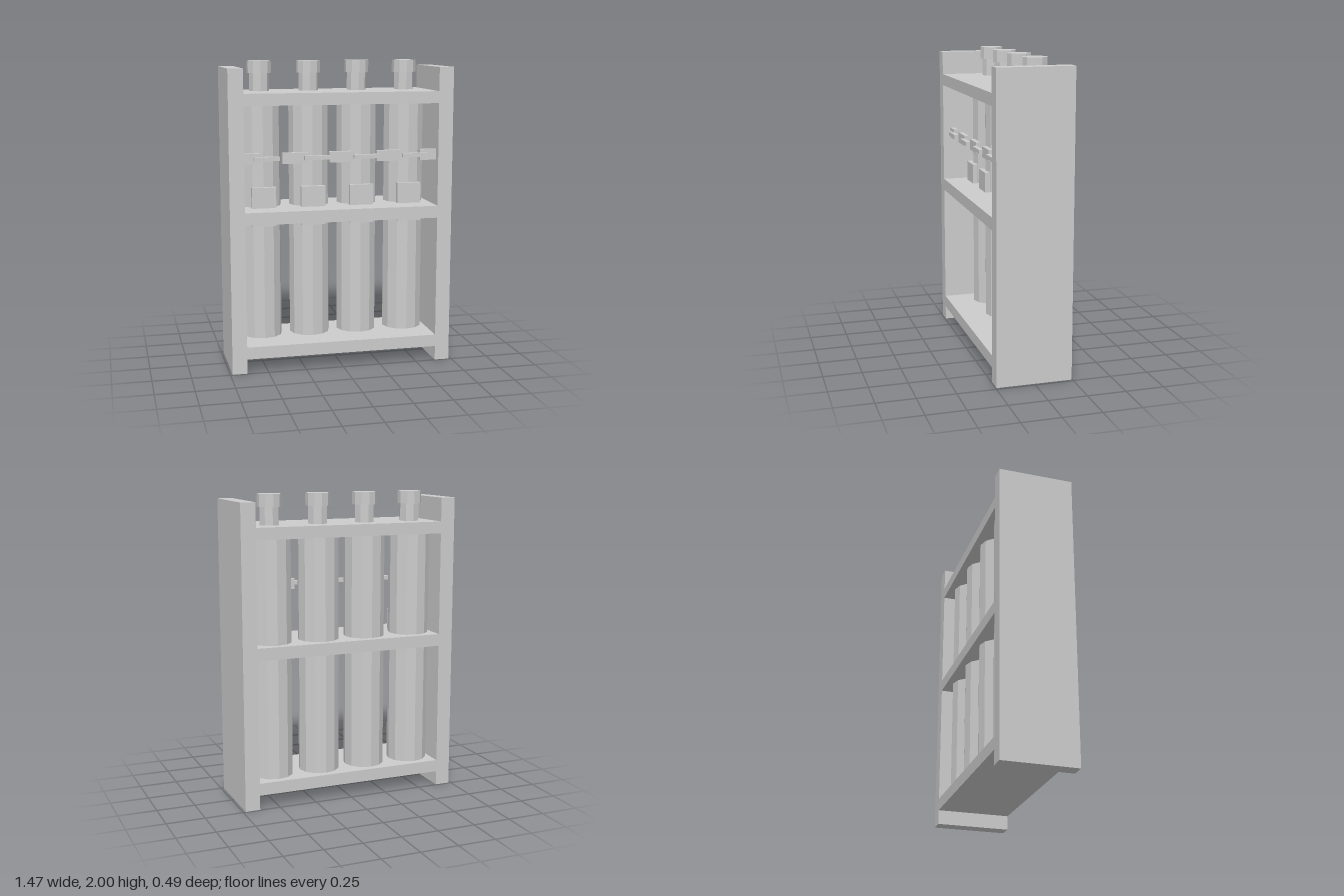
import * as THREE from 'three';

export function createModel() {
  const model = new THREE.Group();
  const grey = new THREE.MeshStandardMaterial({ color: 0xcccccc, flatShading: true });
  grey.name = 'grey';

  const add = (name, geometry, x, y, z) => {
    const mesh = new THREE.Mesh(geometry, grey);
    mesh.name = name;
    mesh.position.set(x, y, z);
    model.add(mesh);
  };
  // Box given by its limits on each axis
  const box = (name, x0, x1, y0, y1, z0, z1) =>
    add(name, new THREE.BoxGeometry(x1 - x0, y1 - y0, z1 - z0), (x0 + x1) / 2, (y0 + y1) / 2, (z0 + z1) / 2);
  // Upright faceted cylinder between two heights
  const post = (name, r, sides, x, y0, y1, z) =>
    add(name, new THREE.CylinderGeometry(r, r, y1 - y0, sides), x, (y0 + y1) / 2, z);

  // Rack frame
  box('leftSidePanel', 0.635, 0.732, 0, 1.96, -0.245, 0.245);
  box('rightSidePanel', -0.735, -0.638, 0, 1.96, -0.245, 0.245);
  box('bottomShelf', -0.638, 0.635, 0.095, 0.175, -0.245, 0.245);
  box('middleShelf', -0.638, 0.635, 0.975, 1.055, -0.245, 0.245);
  box('topShelf', -0.638, 0.635, 1.728, 1.805, -0.245, 0.245);

  // Four bottles, each with neck, cap, label and chain link
  for (let i = 0; i < 4; i++) {
    const x = -0.491 + i * 0.326, z = -0.068;
    post('bottle', 0.134, 12, x, 0.15, 1.75, z);
    post('neck', 0.065, 8, x, 1.75, 1.93, z);
    post('cap', 0.079, 10, x, 1.92, 2, z);
    box('label', x - 0.079, x + 0.079, 0.935, 1.19, 0.055, 0.09);
    box('chainLink', x - 0.083, x + 0.083, 1.378, 1.404, 0.19, 0.22);
  }

  // Retaining strip blocks between the links
  const blocks = [[-0.638, -0.527], [-0.388, -0.22], [-0.08, 0.077], [0.235, 0.389], [0.525, 0.635]];
  for (const [x0, x1] of blocks) box('stripBlock', x0, x1, 1.355, 1.425, 0.165, 0.196);

  return model;
}
